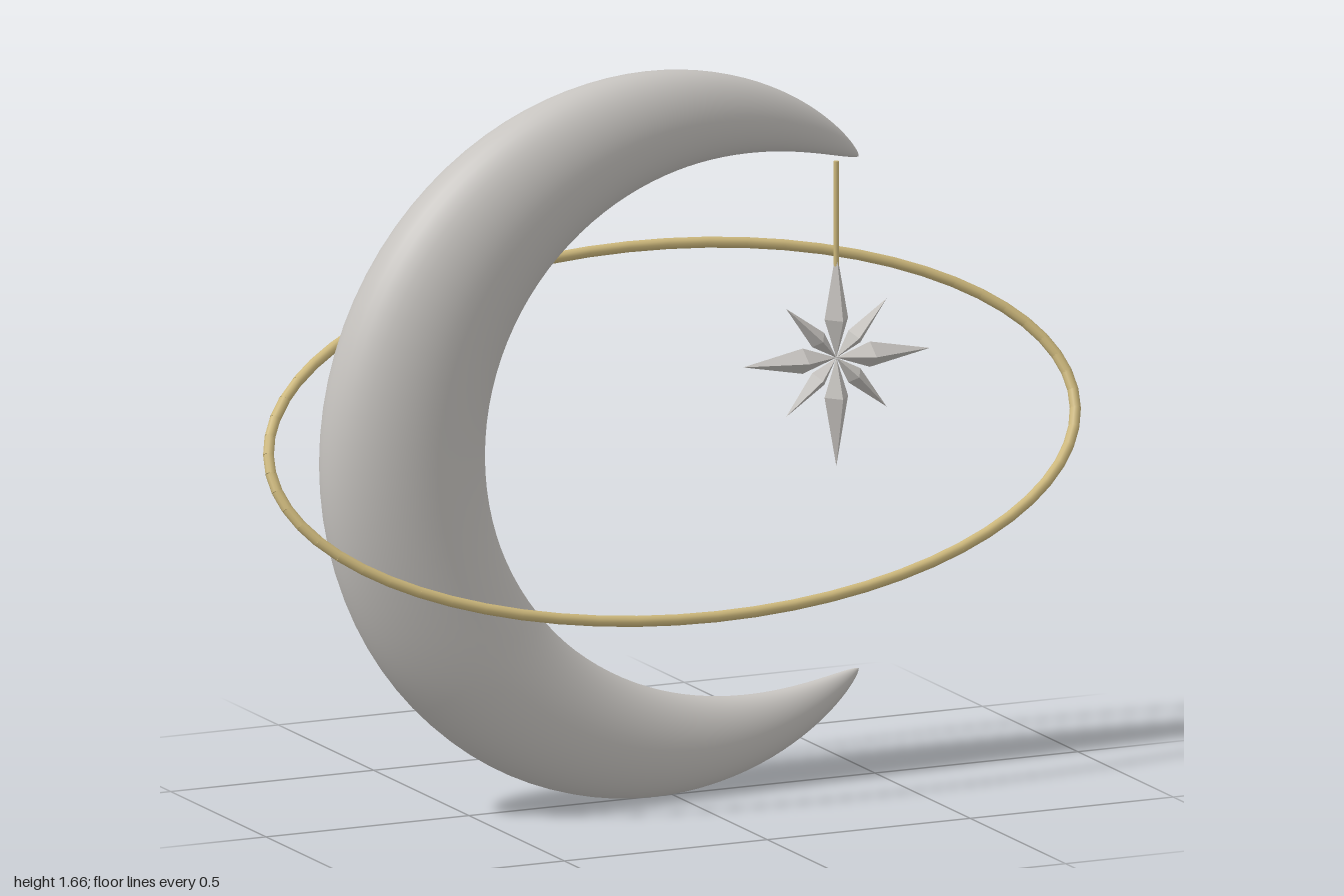
import * as THREE from 'three';

const silver = new THREE.MeshStandardMaterial({ color: 0xc6c3bf });
silver.name = 'silver';
const starSilver = new THREE.MeshStandardMaterial({ color: 0xc2bfbb, flatShading: true });
starSilver.name = 'star silver';
const gold = new THREE.MeshStandardMaterial({ color: 0xcdb87c });
gold.name = 'gold';

// Crescent: oval sections swept round an arc, swelling in the middle
function crescentGeometry() {
  const rows = 96, sides = 40, R = 0.715, half = THREE.MathUtils.degToRad(125);
  const pos = [], index = [];
  for (let i = 0; i <= rows; i++) {
    const s = -Math.cos((i / rows) * Math.PI); // rows crowd towards the tips
    const a = Math.PI + s * half;
    const r = 0.195 * Math.pow(Math.max(0, Math.cos(s * Math.PI / 2)), 0.7);
    for (let j = 0; j < sides; j++) {
      const b = (j / sides) * Math.PI * 2;
      const d = R + r * Math.cos(b);
      pos.push(0.05 + d * Math.cos(a), 0.82 + d * Math.sin(a), r * 0.67 * Math.sin(b));
    }
  }
  for (let i = 0; i < rows; i++) {
    for (let j = 0; j < sides; j++) {
      const k = (j + 1) % sides;
      const p = i * sides + j, q = (i + 1) * sides + j;
      const t = (i + 1) * sides + k, u = i * sides + k;
      index.push(p, q, t, p, t, u);
    }
  }
  const g = new THREE.BufferGeometry();
  g.setAttribute('position', new THREE.Float32BufferAttribute(pos, 3));
  g.setIndex(index);
  g.computeVertexNormals();
  return g;
}

// Star ray: a long four-sided diamond from the centre to its tip
function rayGeometry(length, width, depth) {
  const inner = new THREE.ConeGeometry(1, 1, 4, 1, true);
  const g = new THREE.CylinderGeometry(1, 1, 2, 4, 2, true);
  inner.dispose();
  const p = g.attributes.position;
  for (let i = 0; i < p.count; i++) {
    const y = p.getY(i);
    const w = Math.abs(y) < 0.5 ? 1 : 0;
    const h = y > 0.5 ? length : y < -0.5 ? 0 : length * 0.36;
    p.setXYZ(i, p.getX(i) * w * width, h, p.getZ(i) * w * depth);
  }
  g.computeVertexNormals();
  return g;
}

// Ring: short links laid along a tilted ellipse
function makeRing() {
  const ring = new THREE.Group();
  ring.name = 'ring';
  const links = 64, up = new THREE.Vector3(0, 1, 0);
  const at = (t) => new THREE.Vector3(0.988 * Math.cos(t), 0.82 + 0.375 * Math.sin(t), -0.232 * Math.sin(t));
  for (let i = 0; i < links; i++) {
    const a = at((i / links) * Math.PI * 2);
    const b = at(((i + 1) / links) * Math.PI * 2);
    const dir = b.clone().sub(a);
    const link = new THREE.Mesh(new THREE.CylinderGeometry(0.0125, 0.0125, dir.length() + 0.001, 10), gold);
    link.name = 'ringLink';
    link.position.copy(a).add(b).multiplyScalar(0.5);
    link.quaternion.setFromUnitVectors(up, dir.normalize());
    ring.add(link);
  }
  return ring;
}

export function createModel() {
  const model = new THREE.Group();
  model.name = 'crescentOrnament';

  const crescent = new THREE.Mesh(crescentGeometry(), silver);
  crescent.name = 'crescent';
  model.add(crescent, makeRing());

  // Cord from the upper tip
  const cord = new THREE.Mesh(new THREE.CylinderGeometry(0.006, 0.006, 0.24, 10), gold);
  cord.name = 'cord';
  cord.position.set(0.405, 1.28, 0);
  model.add(cord);

  // Eight-rayed star, long and short rays alternating
  const star = new THREE.Group();
  star.name = 'star';
  star.position.set(0.405, 0.95, 0);
  for (let i = 0; i < 8; i++) {
    const long = i % 2 === 0;
    const geometry = long ? rayGeometry(i % 4 ? 0.23 : 0.248, 0.029, 0.036) : rayGeometry(0.175, 0.021, 0.026);
    const ray = new THREE.Mesh(geometry, starSilver);
    ray.name = long ? 'longRay' : 'shortRay';
    ray.rotation.z = (i * Math.PI) / 4;
    star.add(ray);
  }
  model.add(star);
  return model;
}
